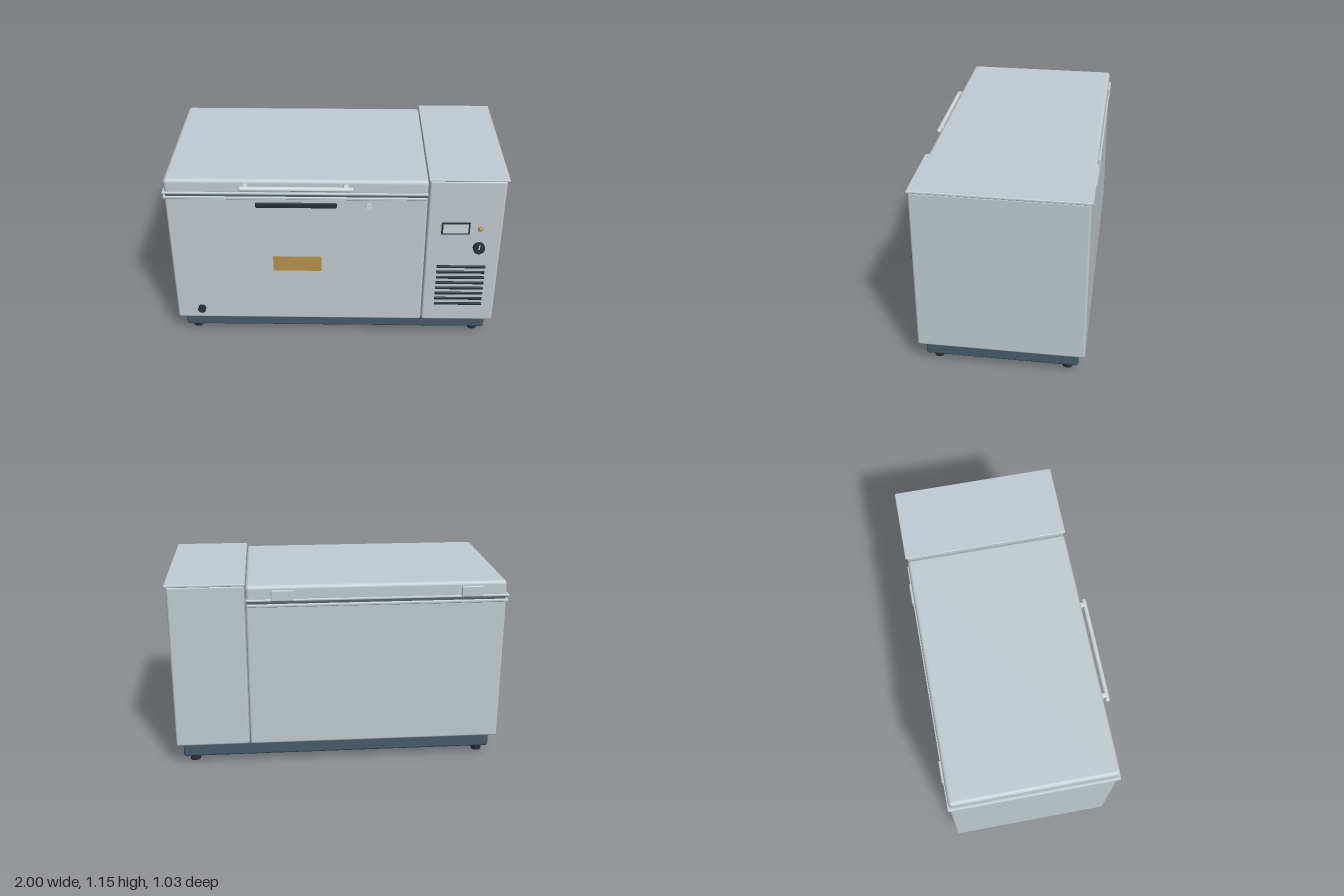
import * as THREE from 'three';
import { RoundedBoxGeometry } from 'three/addons/geometries/RoundedBoxGeometry.js';

const mat = (name, color) => {
  const m = new THREE.MeshStandardMaterial({ color });
  m.name = name;
  return m;
};

export function createModel() {
  const steel = mat('steel', 0xc1ccd2);
  const chrome = mat('chrome', 0xd0d6d9);
  const slate = mat('slate', 0x465c6a);
  const rubber = mat('rubber', 0x2a3035);
  const gasketGrey = mat('gasket grey', 0x596268);
  const brass = mat('brass', 0xb8924a);

  const model = new THREE.Group();
  model.name = 'chestFreezer';

  const add = (name, geometry, material, x, y, z) => {
    const mesh = new THREE.Mesh(geometry, material);
    mesh.name = name;
    mesh.position.set(x, y, z);
    model.add(mesh);
    return mesh;
  };
  // Box given by its limits on each axis, rounded when r > 0
  const box = (name, material, [x0, x1], [y0, y1], [z0, z1], r = 0) => {
    const size = [x1 - x0, y1 - y0, z1 - z0];
    const g = r ? new RoundedBoxGeometry(...size, 3, r) : new THREE.BoxGeometry(...size);
    return add(name, g, material, (x0 + x1) / 2, (y0 + y1) / 2, (z0 + z1) / 2);
  };
  // Round part whose axis points to the front
  const disc = (name, material, x, y, z0, z1, r, rFront = r) => {
    const g = new THREE.CylinderGeometry(rFront, r, z1 - z0, 28).rotateX(Math.PI / 2);
    return add(name, g, material, x, y, (z0 + z1) / 2);
  };

  // Plinth and feet
  box('base', slate, [-0.945, 0.95], [0.045, 0.138], [-0.46, 0.435], 0.014);
  for (const x of [-0.885, 0.885])
    for (const z of [-0.395, 0.37])
      add('foot', new THREE.CylinderGeometry(0.033, 0.03, 0.05, 20), rubber, x, 0.025, z);

  // Chest and its upper rim
  box('chestBody', steel, [-0.985, 0.54], [0.135, 1.02], [-0.5, 0.475], 0.014);
  box('chestRim', steel, [-0.995, 0.536], [1.008, 1.026], [-0.507, 0.478], 0.006);
  box('gasket', gasketGrey, [-0.98, 0.535], [1.02, 1.045], [-0.497, 0.47]);

  // Lid with its lower flange
  box('lid', steel, [-0.985, 0.54], [1.04, 1.136], [-0.5, 0.474], 0.022);
  box('lidFlange', steel, [-0.998, 0.54], [1.042, 1.057], [-0.51, 0.482], 0.006);

  // Compressor cabinet
  box('cabinet', steel, [0.545, 0.988], [0.135, 1.14], [-0.5, 0.475], 0.014);
  box('cabinetTop', steel, [0.54, 1.0], [1.138, 1.153], [-0.51, 0.48], 0.005);

  // Lid handle: bar with rounded ends on two brackets
  const bar = new THREE.CapsuleGeometry(0.014, 0.632, 6, 16).rotateZ(Math.PI / 2);
  add('handleBar', bar, chrome, -0.22, 1.095, 0.502);
  for (const x of [-0.512, 0.067]) {
    box('handleBracket', chrome, [x - 0.014, x + 0.014], [1.076, 1.114], [0.465, 0.502], 0.006);
  }

  // Hinges at the back
  for (const x of [-0.78, 0.33])
    box('hinge', steel, [x - 0.064, x + 0.064], [1.046, 1.11], [-0.515, -0.49], 0.006);

  // Front fittings of the chest
  box('fingerGrip', rubber, [-0.462, 0.014], [0.952, 0.99], [0.462, 0.48], 0.008);
  disc('lock', chrome, 0.2, 0.969, 0.465, 0.49, 0.019);
  box('badge', brass, [-0.37, -0.079], [0.507, 0.61], [0.47, 0.479]);
  disc('drainPlug', rubber, -0.83, 0.213, 0.465, 0.5, 0.024);

  // Control panel
  box('displayFrame', rubber, [0.629, 0.797], [0.782, 0.862], [0.47, 0.481]);
  box('displayWindow', chrome, [0.639, 0.787], [0.792, 0.852], [0.477, 0.484]);
  const lamp = add('indicatorLamp', new THREE.SphereGeometry(0.015, 20, 12), brass, 0.857, 0.823, 0.482);
  lamp.scale.z = 1.1;
  disc('dial', rubber, 0.859, 0.69, 0.465, 0.502, 0.036, 0.034);
  box('dialPointer', chrome, [0.855, 0.863], [0.688, 0.72], [0.5, 0.505]);

  // Vent slats
  for (let i = 0; i < 8; i++) {
    const y = 0.267 + i * 0.04;
    box('ventSlat', rubber, [0.618, 0.911], [y - 0.008, y + 0.008], [0.465, 0.485], 0.004);
  }
  return model;
}
